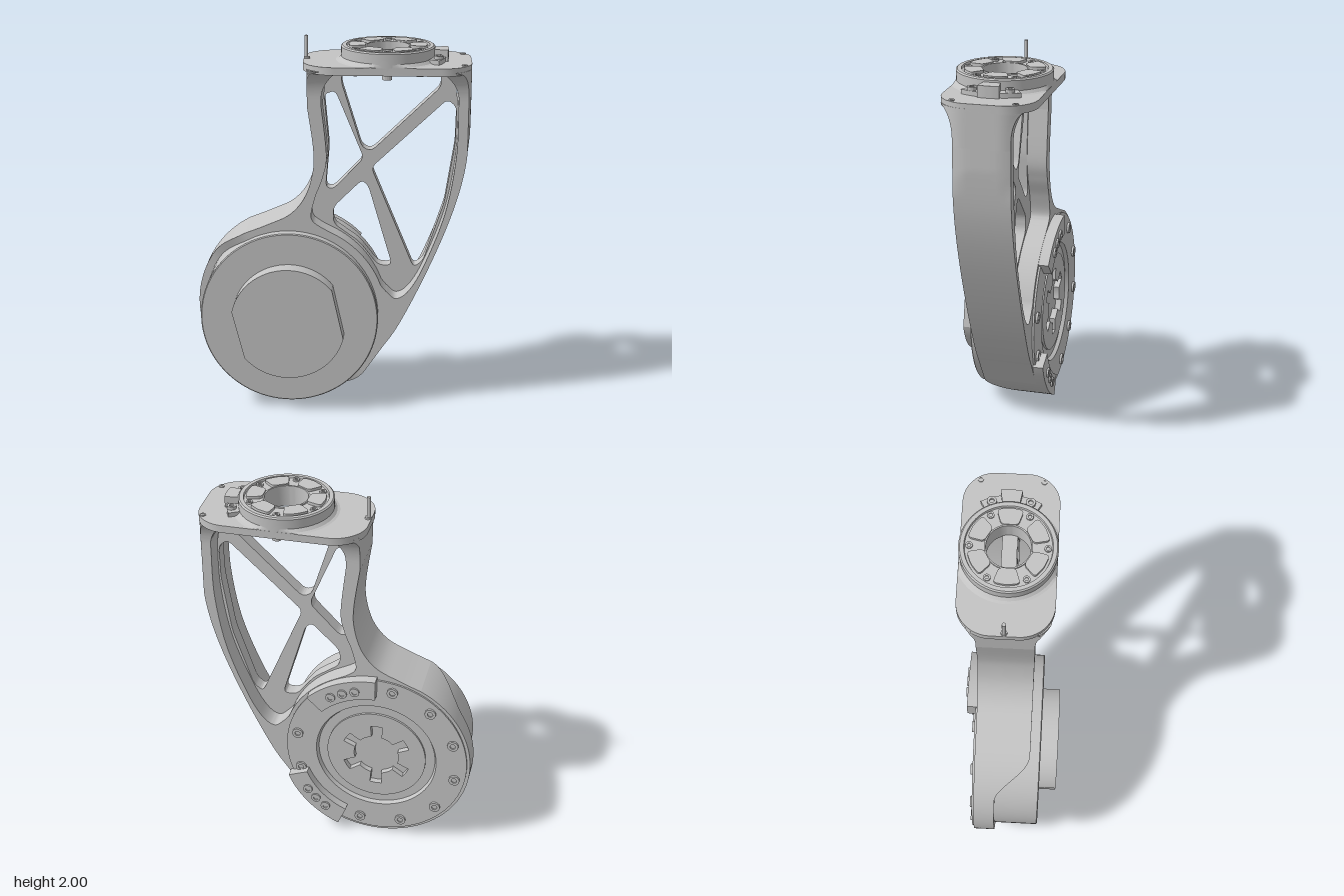
import * as THREE from 'three';
import { toCreasedNormals } from 'three/addons/utils/BufferGeometryUtils.js';

const CX = -0.216, CY = 0.516, R = 0.512, RI = 0.465;  // motor axis, housing radii
const FX = 0.29, MZ = -0.03;               // top flange centre
const BACK = -0.17, FRONT = 0.12;          // frame depth
const MID = (BACK + FRONT) / 2, HALF = (FRONT - BACK) / 2;
const rad = THREE.MathUtils.degToRad;
const { clamp, lerp, smoothstep } = THREE.MathUtils;
const V = (x, y) => new THREE.Vector2(x, y);
const vecs = list => list.map(p => V(p[0], p[1]));
const spline = (list, n = 40) => new THREE.SplineCurve(vecs(list)).getPoints(n);

// points on an arc, angles in degrees
function arc(x, y, r, a0, a1, n = 24) {
  return Array.from({ length: n + 1 }, (_, i) => {
    const a = rad(a0 + (a1 - a0) * i / n);
    return V(x + r * Math.cos(a), y + r * Math.sin(a));
  });
}
const sector = (x, y, r0, r1, a0, a1, n = 12) =>
  new THREE.Shape([...arc(x, y, r1, a0, a1, n), ...arc(x, y, r0, a1, a0, n)]);

// polygon with softened corners
function roundedPath(p, r) {
  const path = new THREE.Path(), n = p.length;
  p.forEach((c, i) => {
    const a = p[(i + n - 1) % n], b = p[(i + 1) % n];
    const s = c.clone().lerp(a, Math.min(0.4, r / c.distanceTo(a)));
    const e = c.clone().lerp(b, Math.min(0.4, r / c.distanceTo(b)));
    if (i) path.lineTo(s.x, s.y); else path.moveTo(s.x, s.y);
    path.quadraticCurveTo(c.x, c.y, e.x, e.y);
  });
  path.closePath();
  return path;
}

// move every vertex of a geometry by a rule
function reshape(geo, rule) {
  const pos = geo.attributes.position;
  for (let i = 0; i < pos.count; i++) pos.setXYZ(i, ...rule(pos.getX(i), pos.getY(i), pos.getZ(i)));
  return geo;
}

// keep x inside the rounded outline of the top plate at depth z
function roundEdge(x, z) {
  const over = clamp(Math.abs(z - MID) - 0.08, 0, 0.16);
  const w = Math.sqrt(0.0256 - over * over);
  return clamp(x, 0.015 - w, 0.56 + w);
}

export function createModel() {
  const group = new THREE.Group();
  group.name = 'robotArmLink';
  const metal = new THREE.MeshStandardMaterial({ color: 0xc4c4c4 });
  metal.name = 'grey metal';

  function add(name, geo, x = 0, y = 0, z = 0) {
    const mesh = new THREE.Mesh(toCreasedNormals(geo, 0.5), metal);
    mesh.name = name;
    mesh.position.set(x, y, z);
    group.add(mesh);
  }
  const extrude = (shape, depth, steps = 1) =>
    new THREE.ExtrudeGeometry(shape, { depth, steps, bevelEnabled: false, curveSegments: 24 });
  const flat = (shape, depth) => extrude(shape, depth).rotateX(-Math.PI / 2);
  const lathe = (list, n = 72, ...range) => new THREE.LatheGeometry(vecs(list), n, ...range);
  // socket-head bolt pointing along +y, or to the back
  function bolt(name, r, h, x, y, z, toBack) {
    const g = lathe([[r, 0], [r, h], [r * 0.5, h], [r * 0.5, h * 0.4], [0, h * 0.4]], 12);
    if (toBack) g.rotateX(-Math.PI / 2);
    add(name, g, x, y, z);
  }

  // inner edge of the frame, from upper right down and round to upper left
  const cavity = [
    ...spline([[0.655, 1.66], [0.65, 1.4], [0.6, 1.1],
      [0.5, 0.82], [0.42, 0.67], [0.35, 0.62], [0.295, 0.66]], 56),
    ...arc(CX, CY, 0.515, 20, 62, 20),
    ...spline([[-0.05, 1.01], [-0.1, 1.06], [-0.08, 1.17], [-0.04, 1.28], [-0.02, 1.4],
      [-0.047, 1.66]], 48),
  ];

  // frame: curved side walls
  const frame = new THREE.Shape([
    ...arc(CX, CY, RI, 117, -39, 60),
    ...spline([[CX + R * Math.cos(rad(-39)), CY + R * Math.sin(rad(-39))], [0.27, 0.325],
      [0.365, 0.47], [0.5, 0.75], [0.62, 1.05], [0.69, 1.3], [0.72, 1.55], [0.72, 1.66]], 64),
    ...cavity,
    ...spline([[-0.12, 1.66], [-0.09, 1.45], [-0.09, 1.32], [-0.13, 1.18], [-0.21, 1.08],
      [-0.33, 1.02], [CX + R * Math.cos(rad(117)), CY + R * Math.sin(rad(117))]], 54),
  ]);
  add('frame', reshape(extrude(frame, FRONT - BACK, 8).translate(0, 0, BACK),
    (x, y, z) => [y > 1.25 ? roundEdge(x, z) : x, y, z]));

  // posts that flare into the top plate
  for (const right of [false, true]) {
    add('flaredPost', reshape(new THREE.BoxGeometry(1, 1, 1, 2, 24, 16), (u, v, w) => {
      const y = lerp(1.66, 1.855, v + 0.5);
      const t = clamp((y - 1.7) / 0.15, 0, 1);
      const z = MID + 2 * w * (HALF + 0.075 * (1 - Math.sqrt(1 - t * t)));
      const bulge = 0.085 * t * t;
      const x = right ? lerp(0.655 - bulge, 0.72, u + 0.5) : lerp(-0.12, -0.047 + bulge, u + 0.5);
      return [roundEdge(x, z), y, z];
    }));
  }

  // housing ring, stepping down to a low flange on the outer side
  const dx = Math.cos(rad(219)), dy = Math.sin(rad(219));
  add('housingRing', reshape(
    lathe([[RI, BACK], [R, BACK], [R, FRONT], [RI, FRONT]], 120, rad(207), rad(204)).rotateX(Math.PI / 2),
    (x, y, z) => [x, y, z > 0 ? z - 0.18 * smoothstep(x * dx + y * dy, -0.1, 0.18) : z]), CX, CY, 0);

  // cross-braced web inside the frame, outline counter-clockwise
  const web = new THREE.Shape([...cavity,
    ...vecs([[-0.03, 1.78], [0.04, 1.85], [0.57, 1.85], [0.64, 1.76]])].reverse());
  [
    [[-0.038, 1.7], [0.02, 1.72], [0.17, 1.36], [0.01, 1.19], [-0.03, 1.2], [-0.012, 1.42]],
    [[0.06, 1.842], [0.555, 1.842], [0.57, 1.75], [0.21, 1.4], [0.16, 1.42], [0.05, 1.77]],
    [[0.6, 1.68], [0.648, 1.64], [0.645, 1.45], [0.597, 1.13], [0.49, 0.8], [0.44, 0.76], [0.21, 1.31]],
    [[0.01, 1.0], [0.01, 1.09], [0.16, 1.24], [0.195, 1.21], [0.325, 0.77], [0.25, 0.77], [0.15, 0.9]],
  ].forEach(h => web.holes.push(roundedPath(vecs(h), 0.035)));
  add('braceWeb', extrude(web, 0.075).translate(0, 0, -0.065));

  // motor drum with stepped back face
  add('motor', lathe([[0, -0.14], [0.25, -0.14], [0.25, -0.172], [0.27, -0.172], [0.27, -0.16],
    [0.32, -0.16], [0.33, -0.18], [0.495, -0.18], [0.495, -0.165], [0.472, -0.165],
    [0.472, 0.17], [0.467, 0.175], [0, 0.175]], 96).rotateX(Math.PI / 2), CX, CY, 0);
  add('motorBoss', extrude(new THREE.Shape([
    ...arc(0, 0, 0.303, 40, 168, 32), ...arc(0, 0, 0.303, 220, 345, 32)]), 0.1), CX, CY, 0.167);

  // back hub with star-shaped opening
  const hub = new THREE.Shape(arc(0, 0, 0.252, 0, 355, 71));
  const star = [];
  for (let k = 0; k < 6; k++) {
    const a = 30 + k * 60;
    star.push(...arc(0, 0, 0.19, a - 10, a + 10, 2), ...arc(0, 0, 0.122, a + 13, a + 47, 6));
  }
  hub.holes.push(new THREE.Path(star));
  add('backHub', extrude(hub, 0.033), CX, CY, -0.172);

  // ring bolts and the two clamps on the back
  const onRing = (a, r) => [CX + r * Math.cos(rad(a)), CY + r * Math.sin(rad(a))];
  for (const a of [-19, 11, 101, 131, 161, 191, 221, 251, 281]) {
    bolt('ringBolt', 0.03, 0.012, ...onRing(a, 0.44), -0.18, true);
  }
  for (const a of [67, -44]) {
    add('backClamp', extrude(sector(CX, CY, 0.4, 0.512, a - 23, a + 23), 0.055), 0, 0, -0.225);
    for (const d of [-9, 0, 9]) bolt('clampBolt', 0.026, 0.01, ...onRing(a + d, 0.45), -0.225, true);
  }

  // top plate
  const plate = new THREE.Shape([
    ...arc(0.56, 0.08, 0.16, 0, 90, 12), ...arc(0.025, 0.07, 0.17, 90, 180, 12),
    ...arc(0.025, -0.07, 0.17, 180, 270, 12), ...arc(0.56, -0.08, 0.16, 270, 360, 12)]);
  plate.holes.push(new THREE.Path(arc(FX, 0, 0.112, 360, 8, 44)));
  add('topPlate', flat(plate, 0.04), 0, 1.84, MZ);
  for (const s of [-1, 1]) bolt('plateScrew', 0.015, 0.005, 0.68, 1.88, MZ + s * 0.157);
  add('locatingPin', new THREE.CylinderGeometry(0.01, 0.01, 0.15, 16), -0.132, 1.925, MZ);
  add('pinCollar', new THREE.CylinderGeometry(0.016, 0.016, 0.01, 16), -0.128, 1.884, MZ);

  // output flange with fairing, pads and bolts
  add('topFlange', lathe([[0.11, 1.84], [0.24, 1.86], [0.242, 1.95], [0.235, 1.957],
    [0.215, 1.957], [0.212, 1.945], [0.118, 1.945], [0.118, 1.953], [0.11, 1.953],
    [0.11, 1.84]]), FX, 0, MZ);
  add('flangeFairing', reshape(lathe([[0.275, 1.878], [0.255, 1.884], [0.24, 1.9]]),
    (x, y, z) => [x, y, clamp(z, -0.239, 0.239)]), FX, 0, MZ);
  for (let k = 0; k < 6; k++) {
    const a = k * 60, b = rad(a + 30);
    const pad = roundedPath([...arc(0, 0, 0.122, a + 20, a - 20, 1), ...arc(0, 0, 0.203, a - 19, a + 19, 2)], 0.02);
    add('flangePad', flat(new THREE.Shape(pad.getPoints(6)), 0.017), FX, 1.943, MZ);
    const x = FX + 0.19 * Math.cos(b), z = MZ + 0.19 * Math.sin(b);
    bolt('flangeBolt', 0.018, 0.01, x, 1.944, z);
    add('undersideBolt', new THREE.CylinderGeometry(0.025, 0.025, 0.035, 16), x, 1.83, z);
  }

  // side connector on the flange
  add('connectorBase', flat(sector(0, 0, 0.22, 0.3, -30, 30), 0.025), FX, 1.878, MZ);
  add('connectorBlock', flat(sector(0, 0, 0.23, 0.312, -10, 10), 0.062), FX, 1.878, MZ);
  for (const s of [-1, 1]) bolt('connectorBolt', 0.024, 0.02, FX + 0.258, 1.9, MZ + s * 0.095);

  return group;
}
